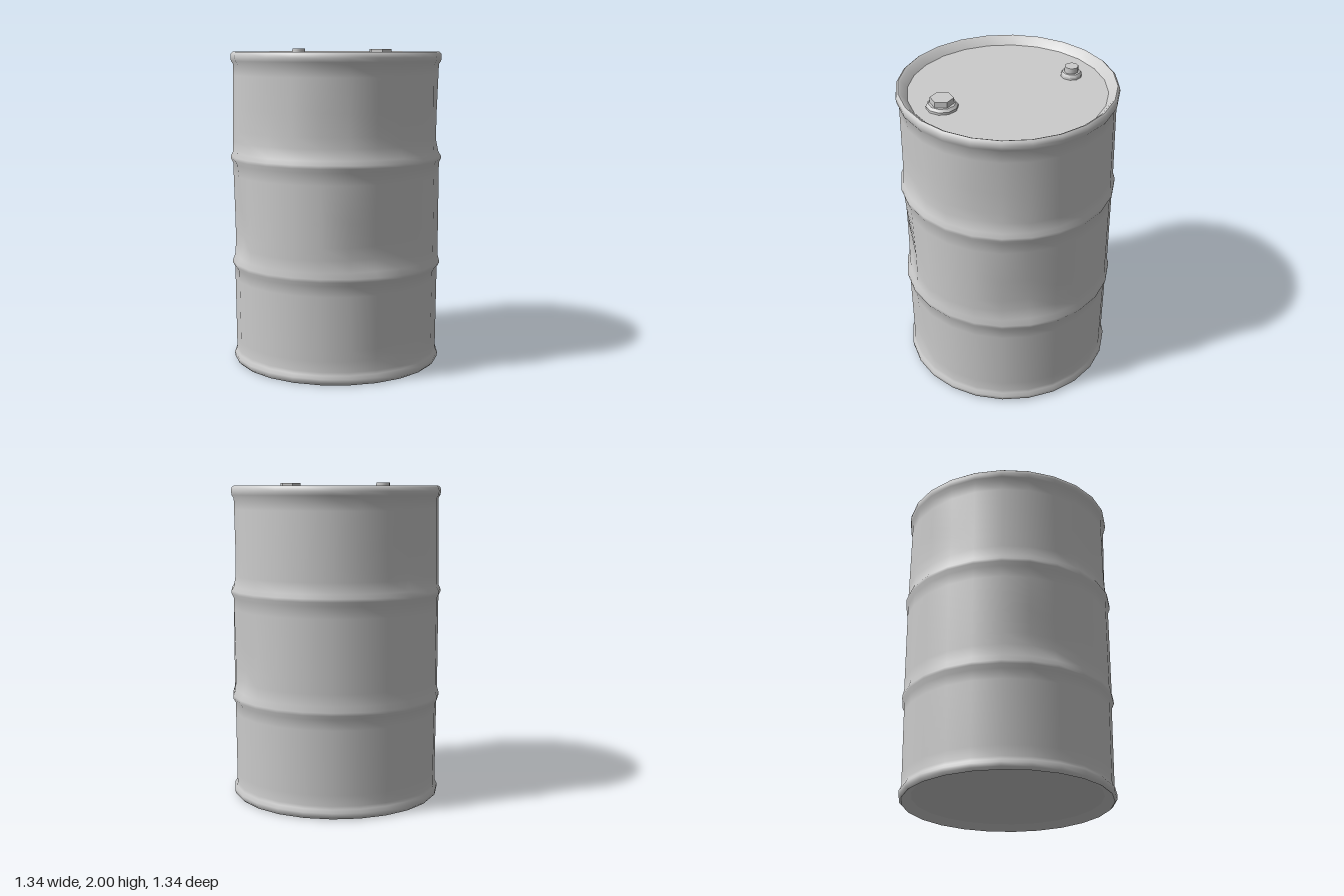
import * as THREE from 'three';
import { toCreasedNormals } from 'three/addons/utils/BufferGeometryUtils.js';

const SIDES = 24;
const LID_Y = 1.935;

// Dents: angle from the front (towards +x), height band, depth, angular half-width
const DENTS = [
  { angle: 0.2, low: 1.34, high: 1.9, depth: 0.02, width: 0.22 },
  { angle: 0.95, low: 1.34, high: 1.9, depth: 0.022, width: 0.22 },
  { angle: 1.65, low: 1.34, high: 1.9, depth: 0.025, width: 0.25 },
  { angle: 2.45, low: 1.34, high: 1.9, depth: 0.02, width: 0.25 },
  { angle: -1.5, low: 1.34, high: 1.9, depth: 0.02, width: 0.25 },
  { angle: -0.3, low: 0.66, high: 1.3, depth: 0.035, width: 0.2 },
  { angle: 1.35, low: 0.66, high: 1.3, depth: 0.035, width: 0.22 },
  { angle: 2.85, low: 0.66, high: 1.3, depth: 0.03, width: 0.2 },
  { angle: 1.6, low: 0.08, high: 0.62, depth: 0.015, width: 0.2 },
];

function dentDepth(angle, y) {
  let depth = 0;
  for (const d of DENTS) {
    if (y <= d.low || y >= d.high) continue;
    const turn = Math.atan2(Math.sin(angle - d.angle), Math.cos(angle - d.angle)) / d.width;
    const t = (y - d.low) / (d.high - d.low);
    // Deepest just above the lower hoop, fading upward
    const fade = Math.min(1, t * 8) * Math.min(1, (1 - t) * 1.6);
    depth += d.depth * Math.exp(-turn * turn) * fade;
  }
  return depth;
}

function lathe(profile, sides) {
  return new THREE.LatheGeometry(profile.map(([r, y]) => new THREE.Vector2(r, y)), sides);
}

export function createModel() {
  const group = new THREE.Group();
  const material = new THREE.MeshStandardMaterial({ color: 0xcccccc });

  function add(name, geometry, parent = group) {
    const mesh = new THREE.Mesh(geometry, material);
    mesh.name = name;
    parent.add(mesh);
    return mesh;
  }

  // Shell: recessed bottom, rolled rims, two hoops and straight bands between
  const profile = [[0.59, 0.035], [0.635, 0.01], [0.65, 0], [0.665, 0.015], [0.667, 0.04], [0.655, 0.06]];
  const band = (from, to, r0, r1) => {
    for (let i = 0; i <= 8; i++) {
      const t = i / 8;
      profile.push([r0 + (r1 - r0) * t, from + (to - from) * t]);
    }
  };
  band(0.08, 0.61, 0.651, 0.656);
  profile.push([0.67, 0.635], [0.67, 0.655]);
  band(0.69, 1.285, 0.66, 0.66);
  profile.push([0.672, 1.31], [0.672, 1.33]);
  band(1.355, 1.905, 0.66, 0.651);
  profile.push([0.664, 1.925], [0.668, 1.95], [0.664, 1.972], [0.652, 1.982], [0.638, 1.975], [0.6, LID_Y]);

  const shell = lathe(profile, SIDES);
  const pos = shell.attributes.position;
  for (let i = 0; i < pos.count; i++) {
    const x = pos.getX(i), y = pos.getY(i), z = pos.getZ(i);
    const r = Math.hypot(x, z), angle = Math.atan2(x, z);
    const scale = (r - dentDepth(angle, y)) / r;
    pos.setX(i, x * scale);
    pos.setZ(i, z * scale);
  }
  add('shell', toCreasedNormals(shell, 0.9));

  // Flat recessed ends
  const lid = add('lid', new THREE.CircleGeometry(0.602, SIDES));
  lid.rotation.x = -Math.PI / 2;
  lid.position.y = LID_Y;
  const bottom = add('bottom', new THREE.CircleGeometry(0.592, SIDES));
  bottom.rotation.x = Math.PI / 2;
  bottom.position.y = 0.035;

  // Bung plugs: a sloped flange with a raised cap
  function addBung(name, x, flangeRadius, capRadius, capSides) {
    const bung = new THREE.Group();
    bung.name = name;
    bung.position.set(x, LID_Y, -0.01);
    const flange = [[flangeRadius, 0], [flangeRadius, 0.015], [flangeRadius * 0.85, 0.03], [0, 0.03]];
    add(name + 'Flange', toCreasedNormals(lathe(flange, 10), 0.7), bung);
    const cap = new THREE.CylinderGeometry(capRadius * 0.97, capRadius, 0.04, capSides);
    add(name + 'Cap', toCreasedNormals(cap, 0.9), bung).position.y = 0.045;
    group.add(bung);
  }
  addBung('largeBung', 0.43, 0.095, 0.072, 6);
  addBung('smallBung', -0.43, 0.065, 0.043, 10);

  return group;
}
